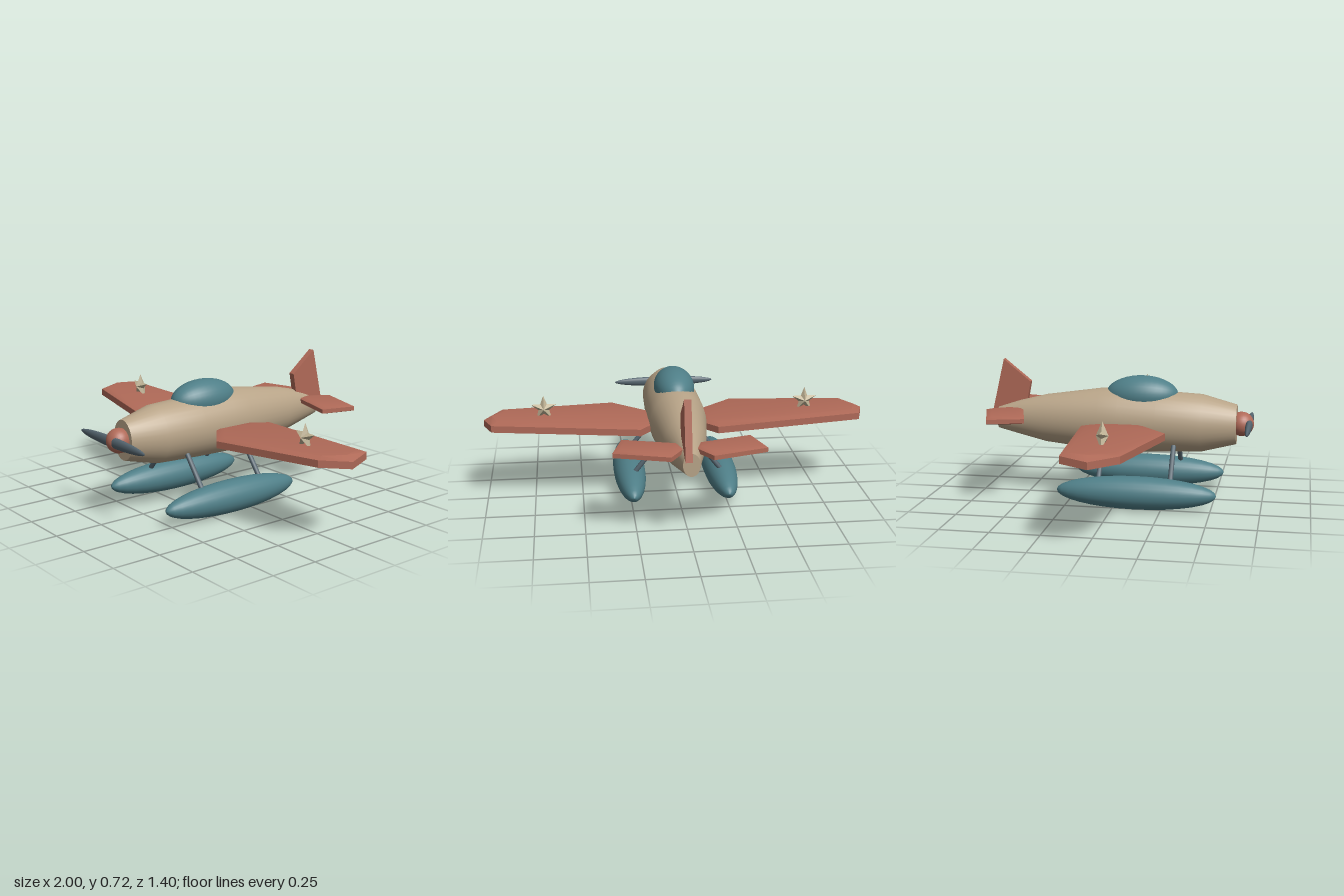
import * as THREE from 'three';
import { toCreasedNormals } from 'three/addons/utils/BufferGeometryUtils.js';

const paint = (color) => new THREE.MeshStandardMaterial({ color });
const tan = paint(0xb8a488), red = paint(0xb06a58), teal = paint(0x4f7f88);
const steel = paint(0x55656f), cream = paint(0xc2b597);

function add(parent, name, geometry, material, x = 0, y = 0, z = 0) {
  const mesh = new THREE.Mesh(geometry, material);
  mesh.name = name;
  mesh.position.set(x, y, z);
  parent.add(mesh);
  return mesh;
}

// Body lofted through elliptical stations [z, bottom, top, half width], nose first
function loft(stations, sides) {
  const rows = stations.length - 1;
  const g = new THREE.CylinderGeometry(1, 1, 1, sides, rows).rotateX(Math.PI / 2);
  const p = g.attributes.position;
  for (let i = 0; i < p.count; i++) {
    const [z, low, high, w] = stations[Math.round((0.5 - p.getZ(i)) * rows)];
    p.setXYZ(i, p.getX(i) * w, (low + high) / 2 + p.getY(i) * (high - low) / 2, z);
  }
  return toCreasedNormals(g, 0.7);
}

// Thin panel with sloped edges, lying flat from y = 0 to y = thickness; outline is [x, z]
function panel(outline, thickness, bevel, slope) {
  const shape = new THREE.Shape(outline.map(([x, z]) => new THREE.Vector2(x, -z)));
  const g = new THREE.ExtrudeGeometry(shape, {
    depth: thickness - 2 * slope, bevelThickness: slope, bevelSize: bevel,
    bevelOffset: -bevel, bevelSegments: 1,
  });
  g.translate(0, 0, slope).rotateX(-Math.PI / 2);
  return g;
}

function ellipsoid(rx, ry, rz) {
  return new THREE.SphereGeometry(1, 32, 20).rotateX(Math.PI / 2).scale(rx, ry, rz);
}

// Five-pointed star rising to a point on both faces
function puffedStar(outer, inner, depth) {
  const rim = (i) => {
    const a = Math.PI / 2 + i * Math.PI / 5, r = i % 2 ? inner : outer;
    return [r * Math.cos(a), r * Math.sin(a), 0];
  };
  const v = [];
  for (let i = 0; i < 10; i++) {
    v.push(...rim(i), ...rim(i + 1), 0, 0, depth);
    v.push(...rim(i + 1), ...rim(i), 0, 0, -depth);
  }
  const g = new THREE.BufferGeometry();
  g.setAttribute('position', new THREE.Float32BufferAttribute(v, 3));
  g.computeVertexNormals();
  return g;
}

// Round rod between two points
function rod(a, b, r) {
  const d = b.clone().sub(a);
  const g = new THREE.CylinderGeometry(r, r, d.length(), 12);
  g.applyQuaternion(new THREE.Quaternion().setFromUnitVectors(
    new THREE.Vector3(0, 1, 0), d.clone().normalize()));
  const m = a.clone().add(b).multiplyScalar(0.5);
  return g.translate(m.x, m.y, m.z);
}

export function createModel() {
  const plane = new THREE.Group();
  plane.name = 'seaplane';

  // Fuselage, canopy and nose
  add(plane, 'fuselage', loft([
    [0.61, 0.305, 0.512, 0.08], [0.43, 0.26, 0.56, 0.142], [0.2, 0.25, 0.572, 0.15],
    [0, 0.245, 0.583, 0.15], [-0.1, 0.25, 0.578, 0.147], [-0.4, 0.282, 0.535, 0.105],
    [-0.54, 0.315, 0.5, 0.07], [-0.66, 0.345, 0.46, 0.042],
  ], 32), tan);
  add(plane, 'canopy', ellipsoid(0.106, 0.1, 0.19), teal, 0, 0.55, 0.115);
  add(plane, 'spinner', ellipsoid(0.063, 0.063, 0.063), red, 0, 0.412, 0.635);
  add(plane, 'propeller', ellipsoid(0.285, 0.028, 0.018), steel, 0, 0.412, 0.675);

  // Upright fin, set slightly to one side
  const fin = new THREE.Shape([[0.485, 0.6], [0.63, 0.717], [0.697, 0.43], [0.51, 0.47]]
    .map(([x, y]) => new THREE.Vector2(x, y)));
  add(plane, 'tailFin', new THREE.ExtrudeGeometry(fin, { depth: 0.034, bevelEnabled: false })
    .rotateY(Math.PI / 2), red);

  const floatProfile = [];
  for (let i = 0; i <= 16; i++) {
    const a = -Math.PI / 2 + i * Math.PI / 16;
    floatProfile.push(new THREE.Vector2(Math.max(0, 0.085 * Math.cos(a)), 0.41 * Math.sin(a)));
  }

  for (const s of [1, -1]) {
    const side = new THREE.Group();
    side.name = s > 0 ? 'leftSide' : 'rightSide';
    plane.add(side);
    const mirrored = (pts) => pts.map(([x, z]) => [s * x, z]);

    // Wing rises gently towards a pointed tip
    const wing = panel(mirrored([[0.13, 0.13], [0.325, 0.28], [0.91, 0.16], [1, 0.03],
      [0.955, -0.105], [0.2, -0.17], [0.13, -0.08]]), 0.055, 0.04, 0.01);
    const p = wing.attributes.position;
    for (let i = 0; i < p.count; i++) {
      const x = Math.abs(p.getX(i));
      p.setY(i, p.getY(i) + 0.366 + 0.035 * (x - 0.13) - 0.3 * Math.max(0, x - 0.955));
    }
    add(side, 'wing', toCreasedNormals(wing, 0.5), red);
    add(side, 'wingStar', puffedStar(0.069, 0.029, 0.03), cream, s * 0.69, 0.478, 0.037);

    // Tailplane
    add(side, 'tailplane', toCreasedNormals(panel(mirrored([[0.03, -0.59], [0.1, -0.7],
      [0.368, -0.62], [0.315, -0.437], [0.05, -0.515]]), 0.038, 0.025, 0.008), 0.5),
    red, 0, 0.432);

    // Float and its two struts
    add(side, 'float', new THREE.LatheGeometry(floatProfile, 24).rotateX(Math.PI / 2),
      teal, s * 0.245, 0.086, 0.12);
    for (const z of [0.295, -0.075]) {
      add(side, 'strut', rod(new THREE.Vector3(s * 0.24, 0.13, z),
        new THREE.Vector3(s * 0.08, 0.335, z), 0.013), steel);
    }
  }
  return plane;
}
